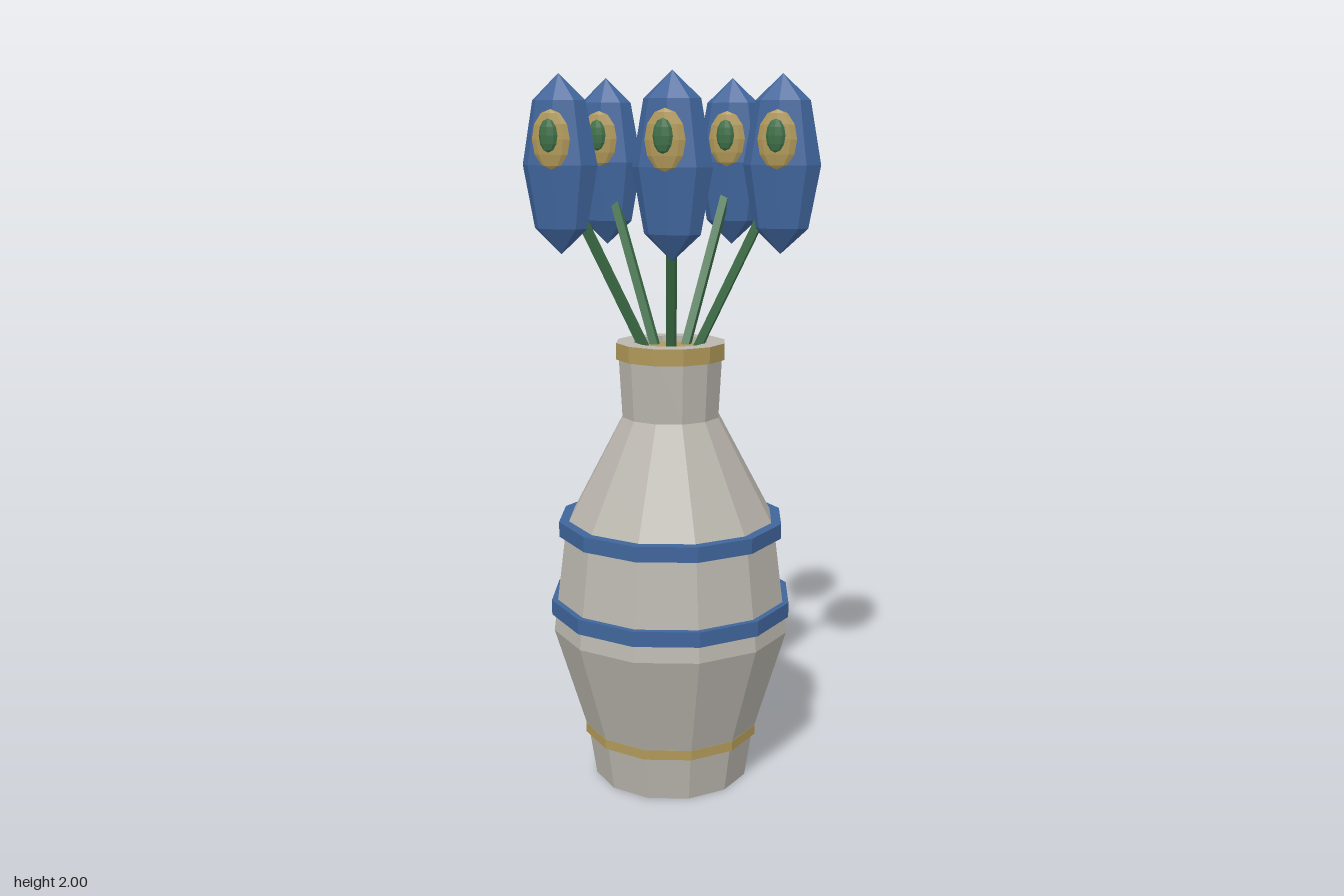
import * as THREE from 'three';

function flatMaterial(name, color) {
  const m = new THREE.MeshStandardMaterial({ color, flatShading: true });
  m.name = name;
  return m;
}

export function createModel() {
  const stone = flatMaterial('warm grey', 0xbab6ae);
  const blue = flatMaterial('blue', 0x40659c);
  const gold = flatMaterial('gold', 0xb09858);
  const green = flatMaterial('green', 0x3e7048);

  const SIDES = 12;
  const model = new THREE.Group();
  model.name = 'vaseWithFlowers';
  // The flowers reach further forward and right, so the vase sits slightly off centre
  const bouquet = new THREE.Group();
  bouquet.name = 'vaseAndBouquet';
  bouquet.position.set(-0.032, 0, -0.016);
  model.add(bouquet);

  function add(parent, name, geometry, material, x = 0, y = 0, z = 0) {
    const mesh = new THREE.Mesh(geometry, material);
    mesh.name = name;
    mesh.position.set(x, y, z);
    parent.add(mesh);
    return mesh;
  }
  const lathe = (pts) =>
    new THREE.LatheGeometry(pts.map(([r, y]) => new THREE.Vector2(r, y)), SIDES);
  // Ring with square section, wrapped round the body
  const band = (inner, outer, y0, y1) =>
    lathe([[inner, y0], [outer, y0], [outer, y1], [inner, y1]]);

  // Vase body, from the base up the outside and over the rim
  add(bouquet, 'vaseBody', lathe([
    [0, 0], [0.225, 0], [0.245, 0.13], [0.343, 0.455], [0.304, 0.76],
    [0.139, 1.07], [0.15, 1.27], [0.155, 1.28], [0.105, 1.28], [0.105, 1.255],
  ]), stone);

  // Painted bands
  add(bouquet, 'footBand', band(0.235, 0.255, 0.132, 0.16), gold);
  add(bouquet, 'lowerBand', band(0.31, 0.349, 0.503, 0.546), blue);
  add(bouquet, 'upperBand', band(0.28, 0.324, 0.733, 0.776), blue);
  add(bouquet, 'rimBand', lathe([[0.14, 1.234], [0.156, 1.234], [0.156, 1.28]]), gold);

  // Filling inside the neck
  add(bouquet, 'neckFilling', new THREE.CylinderGeometry(0.105, 0.105, 0.02, SIDES), gold, 0, 1.253, 0);

  // Five flowers on leaning stems, all facing forward
  const bud = new THREE.SphereGeometry(1, 8, 4);
  const lens = new THREE.SphereGeometry(1, 8, 6);
  const up = new THREE.Vector3(0, 1, 0);
  for (let i = 0; i < 5; i++) {
    const a = (i * Math.PI * 2) / 5;
    const c = Math.cos(a), s = Math.sin(a);
    const flower = new THREE.Group();
    flower.name = 'flower' + (i + 1);
    bouquet.add(flower);

    const start = new THREE.Vector3(0.07, 1.25, 0);
    const end = new THREE.Vector3(0.29, 1.7, 0);
    for (const p of [start, end]) p.set(p.x * c, p.y, p.x * s);
    const dir = end.clone().sub(start);
    const stem = add(flower, 'stem', new THREE.BoxGeometry(0.023, dir.length(), 0.023), green);
    stem.position.copy(start).lerp(end, 0.5);
    stem.quaternion.setFromUnitVectors(up, dir.normalize());

    const head = new THREE.Group();
    head.name = 'flowerHead';
    head.position.set(0.309 * c, 1.765, 0.309 * s);
    flower.add(head);
    add(head, 'petalBud', bud, blue).scale.set(0.106, 0.235, 0.0575);
    add(head, 'goldEye', lens, gold, 0, 0.066, 0.06).scale.set(0.053, 0.077, 0.0125);
    add(head, 'greenPupil', lens, green, 0, 0.076, 0.078).scale.set(0.026, 0.043, 0.01);
  }
  return model;
}
